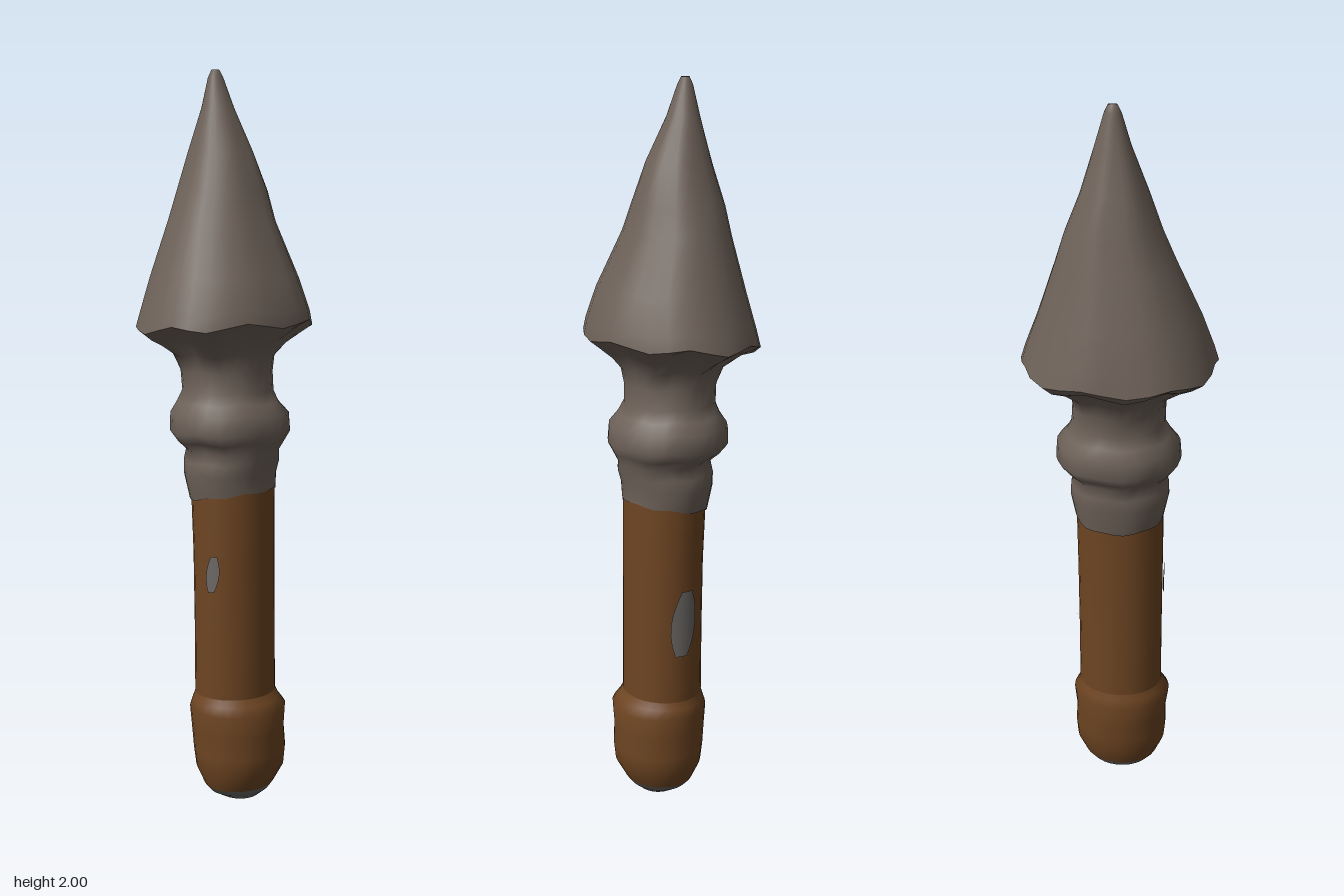
import * as THREE from 'three';

const stone = new THREE.MeshStandardMaterial({ color: 0x6e6259 });
stone.name = 'warm grey stone';
const wood = new THREE.MeshStandardMaterial({ color: 0x6e4522 });
wood.name = 'brown wood';
const chip = new THREE.MeshStandardMaterial({ color: 0x6c6865 });
chip.name = 'bare grey';

const SIDES = 28;

// Skin over rings [y, xMin, xMax, zMin, zMax, lump = 0, tilt = 0], listed from bottom to top
function loft(name, material, rings, { capBottom = false, capTop = false } = {}) {
  const pos = [], index = [];
  for (const [y, x0, x1, z0, z1, lump = 0, tilt = 0] of rings) {
    for (let j = 0; j < SIDES; j++) {
      const a = (j / SIDES) * Math.PI * 2;
      const wave = 0.6 * Math.sin(5 * a + 1) + 0.4 * Math.sin(9 * a) + 0.5 * Math.abs(Math.sin(2 * a));
      const r = 1 + lump * wave;
      pos.push(
        (x0 + x1) / 2 + ((x1 - x0) / 2) * r * Math.cos(a),
        y + tilt * Math.cos(a) + lump * 0.3 * Math.sin(7 * a),
        (z0 + z1) / 2 - ((z1 - z0) / 2) * r * Math.sin(a));
    }
  }
  const n = rings.length;
  for (let i = 0; i < n - 1; i++) {
    for (let j = 0; j < SIDES; j++) {
      const k = (j + 1) % SIDES;
      const a = i * SIDES + j, b = i * SIDES + k;
      index.push(a, b, b + SIDES, a, b + SIDES, a + SIDES);
    }
  }
  const close = (i, up) => {
    const [y, x0, x1, z0, z1] = rings[i];
    const c = pos.length / 3;
    pos.push((x0 + x1) / 2, y, (z0 + z1) / 2);
    for (let j = 0; j < SIDES; j++) {
      const a = i * SIDES + j, b = i * SIDES + (j + 1) % SIDES;
      index.push(c, up ? a : b, up ? b : a);
    }
  };
  if (capBottom) close(0, false);
  if (capTop) close(n - 1, true);
  const geo = new THREE.BufferGeometry();
  geo.setAttribute('position', new THREE.Float32BufferAttribute(pos, 3));
  geo.setIndex(index);
  geo.computeVertexNormals();
  const mesh = new THREE.Mesh(geo, material);
  mesh.name = name;
  return mesh;
}

// Worn patch bent around the grip; side is +1 for the front and -1 for the back
function wornPatch(name, x, y, w, h, side) {
  const geo = new THREE.PlaneGeometry(w, h, 6, 6);
  const p = geo.attributes.position;
  for (let i = 0; i < p.count; i++) {
    const t = p.getY(i) / h;
    const px = p.getX(i) * (1 - 2.2 * t * t) + t * w * 0.25;
    const u = (x + side * px - 0.026) / 0.109;
    p.setXYZ(i, x + side * px, y + p.getY(i), side * (0.122 * Math.sqrt(1 - u * u) + 0.004));
  }
  geo.computeVertexNormals();
  const mesh = new THREE.Mesh(geo, chip);
  mesh.name = name;
  return mesh;
}

export function createModel() {
  const model = new THREE.Group();
  model.name = 'spearTool';
  const rim = [1.32, -0.225, 0.222, -0.262, 0.262, 0.03, 0.012];

  model.add(
    // Bare rounded end
    loft('buttCap', chip, [
      [0, -0.01, 0.095, -0.055, 0.05],
      [0.022, -0.04, 0.122, -0.09, 0.09],
      [0.04, -0.052, 0.135, -0.108, 0.107],
    ], { capBottom: true }),

    // Swollen end of the handle
    loft('pommel', wood, [
      [0.04, -0.052, 0.135, -0.108, 0.107],
      [0.09, -0.076, 0.163, -0.132, 0.13],
      [0.14, -0.083, 0.168, -0.136, 0.135],
      [0.2, -0.09, 0.165, -0.132, 0.134],
      [0.262, -0.093, 0.168, -0.139, 0.143],
      [0.285, -0.086, 0.148, -0.126, 0.13],
      [0.305, -0.08, 0.136, -0.12, 0.121],
    ]),

    // Straight grip
    loft('grip', wood, [
      [0.295, -0.08, 0.136, -0.12, 0.121],
      [0.5, -0.081, 0.134, -0.12, 0.121],
      [0.7, -0.084, 0.132, -0.121, 0.122],
      [0.87, -0.09, 0.131, -0.123, 0.122, 0.01, 0.018],
    ]),
    wornPatch('frontWornPatch', 0.036, 0.655, 0.04, 0.1, 1),
    wornPatch('backWornPatch', 0.035, 0.54, 0.075, 0.19, -1),

    // Socket, ring and neck, out to the underside of the head
    loft('collar', stone, [
      [0.86, -0.094, 0.133, -0.126, 0.125, 0.01, 0.018],
      [0.92, -0.11, 0.133, -0.137, 0.138, 0.01],
      [0.955, -0.112, 0.145, -0.136, 0.136, 0.01],
      [0.985, -0.108, 0.147, -0.124, 0.126, 0.01],
      [1.01, -0.132, 0.158, -0.155, 0.153, 0.01],
      [1.035, -0.151, 0.171, -0.175, 0.17, 0.01],
      [1.085, -0.15, 0.167, -0.172, 0.166, 0.01],
      [1.115, -0.132, 0.14, -0.146, 0.144, 0.01],
      [1.145, -0.12, 0.126, -0.13, 0.126, 0.01],
      [1.2, -0.125, 0.125, -0.126, 0.127, 0.01],
      [1.245, -0.148, 0.132, -0.132, 0.14, 0.02],
      [1.285, -0.19, 0.16, -0.18, 0.19, 0.04],
      [1.305, -0.215, 0.2, -0.225, 0.228, 0.04, 0.012],
      rim,
    ]),

    // Pointed head
    loft('spearHead', stone, [
      rim,
      [1.36, -0.216, 0.217, -0.25, 0.25, 0.025, 0.006],
      [1.45, -0.194, 0.19, -0.215, 0.217, 0.02],
      [1.6, -0.155, 0.122, -0.162, 0.15, 0.02],
      [1.68, -0.139, 0.1, -0.136, 0.115, 0.02],
      [1.78, -0.111, 0.064, -0.095, 0.08, 0.02],
      [1.9, -0.079, 0.008, -0.055, 0.037],
      [1.98, -0.062, -0.022, -0.03, 0.014],
      [2, -0.053, -0.032, -0.02, 0.004],
    ], { capTop: true }),
  );
  return model;
}
